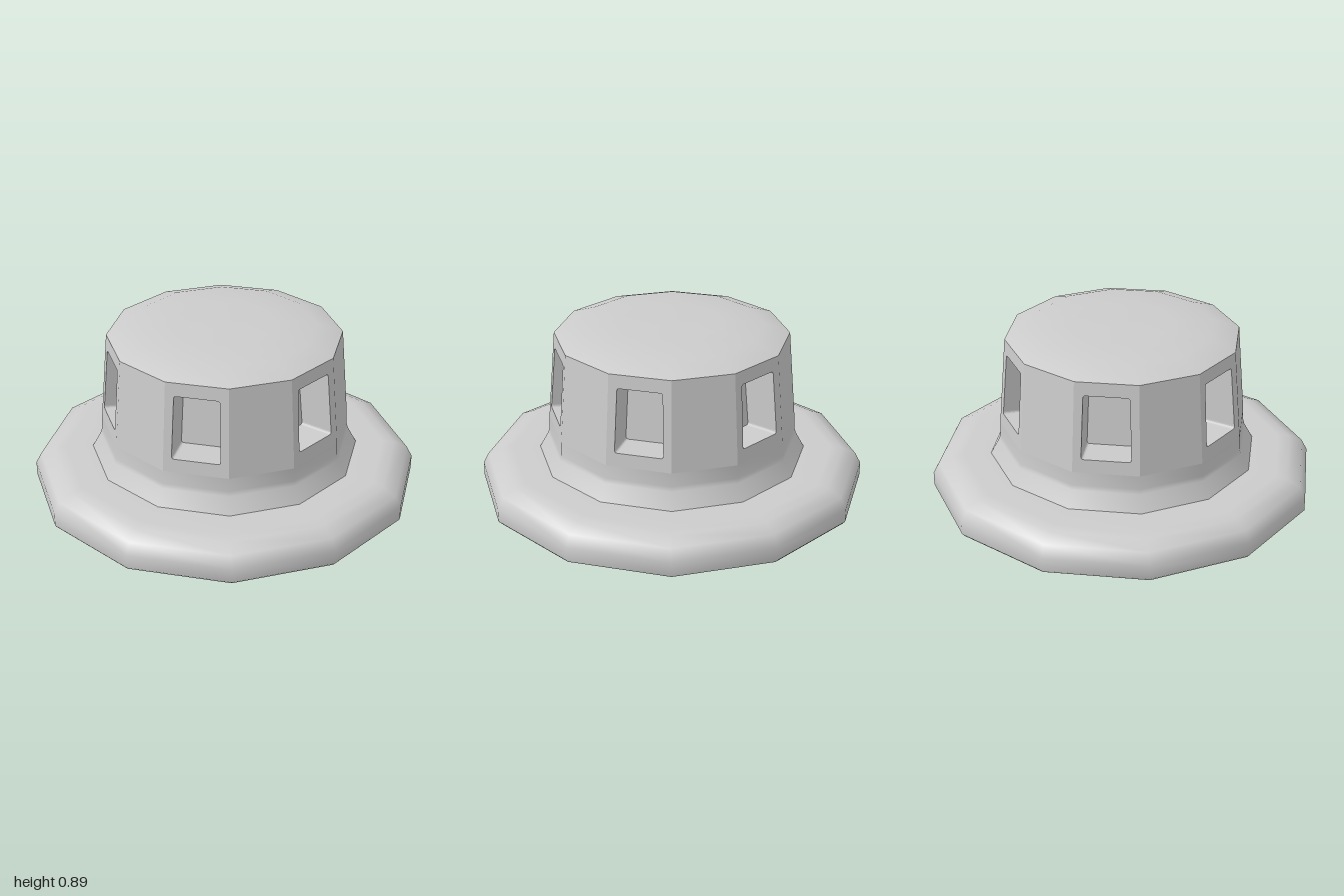
import * as THREE from 'three';
import { mergeGeometries } from 'three/addons/utils/BufferGeometryUtils.js';

const SIDES = 12;
const STEP = (Math.PI * 2) / SIDES;
const mat = new THREE.MeshStandardMaterial({ color: 0xcccccc });

// Crown wall: radius and height at its foot and its rim
const FOOT = { r: 0.64, y: 0.36 };
const RIM = { r: 0.6, y: 0.83 };
const POCKET_DEPTH = 0.19;

// Twelve-sided solid of revolution, smooth along its profile
function lathe(name, profile) {
  const points = profile.map(([r, y]) => new THREE.Vector2(r, y));
  const mesh = new THREE.Mesh(new THREE.LatheGeometry(points, SIDES), mat);
  mesh.name = name;
  return mesh;
}

// Trapezoid path with rounded corners (r = 0 gives sharp ones)
function trapezoid(path, y0, y1, w0, w1, r) {
  path.moveTo(-w0 + r, y0);
  path.lineTo(w0 - r, y0);
  path.quadraticCurveTo(w0, y0, w0, y0 + r);
  path.lineTo(w1, y1 - r);
  path.quadraticCurveTo(w1, y1, w1 - r, y1);
  path.lineTo(-w1 + r, y1);
  path.quadraticCurveTo(-w1, y1, -w1, y1 - r);
  path.lineTo(-w0, y0 + r);
  path.quadraticCurveTo(-w0, y0, -w0 + r, y0);
  return path;
}

// Inward-facing side walls of a pocket that follow the window outline
function pocketSides(outline) {
  const pos = [];
  outline.forEach((a, i) => {
    const b = outline[(i + 1) % outline.length];
    if (a.distanceTo(b) < 1e-6) return;
    const d = -POCKET_DEPTH;
    pos.push(a.x, a.y, 0, b.x, b.y, 0, b.x, b.y, d);
    pos.push(a.x, a.y, 0, b.x, b.y, d, a.x, a.y, d);
  });
  const geo = new THREE.BufferGeometry();
  geo.setAttribute('position', new THREE.Float32BufferAttribute(pos, 3));
  geo.computeVertexNormals();
  return geo;
}

// One leaning wall panel, plain or with a recessed window
function wallPanel(angle, hasWindow) {
  const apothem = Math.cos(STEP / 2);
  const half = Math.sin(STEP / 2);
  const lean = (FOOT.r - RIM.r) * apothem;
  const height = RIM.y - FOOT.y;
  const shape = trapezoid(new THREE.Shape(), 0, Math.hypot(lean, height), FOOT.r * half, RIM.r * half, 0);
  const parts = [];
  if (hasWindow) {
    const windowArgs = [0.07, 0.402, 0.122, 0.113, 0.014];
    shape.holes.push(trapezoid(new THREE.Path(), ...windowArgs));
    const back = trapezoid(new THREE.Shape(), ...windowArgs);
    parts.push(new THREE.ShapeGeometry(back, 4).toNonIndexed().translate(0, 0, -POCKET_DEPTH));
    parts.push(pocketSides(back.getPoints(4)));
  }
  parts.push(new THREE.ShapeGeometry(shape, 4).toNonIndexed());
  parts.forEach((g) => g.deleteAttribute('uv'));
  const geo = mergeGeometries(parts);
  geo.rotateX(-Math.atan2(lean, height));
  geo.translate(0, FOOT.y, FOOT.r * apothem);
  geo.rotateY(angle);
  const mesh = new THREE.Mesh(geo, mat);
  mesh.name = hasWindow ? 'windowPanel' : 'plainPanel';
  return mesh;
}

export function createModel() {
  const model = new THREE.Group();
  model.name = 'twelveSidedKnob';

  // Flat base disc with a rounded upper edge
  model.add(lathe('underside', [[0, 0], [0.988, 0]]));
  model.add(lathe('baseFlange', [
    [0.988, 0], [1, 0.014], [1, 0.085], [0.97, 0.142], [0.9, 0.174], [0.84, 0.182], [0.695, 0.183],
  ]));

  // Flared collar between the base and the wall
  model.add(lathe('collar', [[0.695, 0.183], [0.65, 0.265], [0.643, 0.29], [FOOT.r, FOOT.y]]));

  // Wall panels, every second one holding a window
  const wall = new THREE.Group();
  wall.name = 'crownWall';
  for (let i = 0; i < SIDES; i++) wall.add(wallPanel((i + 0.5) * STEP, i % 2 === 0));
  model.add(wall);

  // Gently domed cap
  model.add(lathe('domedTop', [[RIM.r, RIM.y], [0.47, 0.876], [0.25, 0.885], [0, 0.888]]));

  return model;
}
